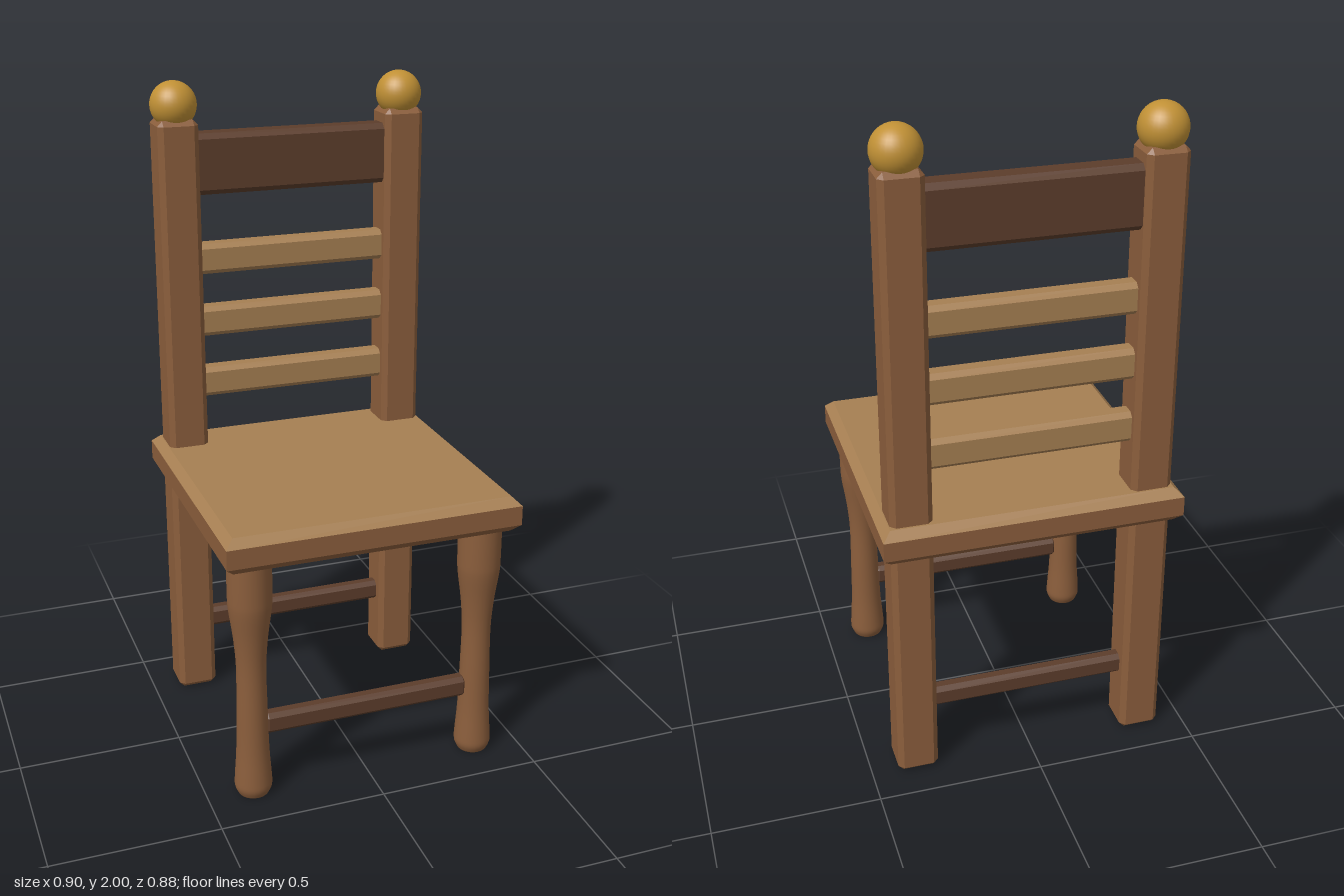
import * as THREE from 'three';
import { ConvexGeometry } from 'three/addons/geometries/ConvexGeometry.js';

const material = (name, color) => {
  const m = new THREE.MeshStandardMaterial({ color });
  m.name = name;
  return m;
};

// Box with every edge cut at 45 degrees
function chamferBox(w, h, d, c) {
  const points = [];
  for (const sx of [-1, 1]) for (const sy of [-1, 1]) for (const sz of [-1, 1]) {
    const x = w / 2, y = h / 2, z = d / 2;
    points.push(
      new THREE.Vector3(sx * x, sy * (y - c), sz * (z - c)),
      new THREE.Vector3(sx * (x - c), sy * y, sz * (z - c)),
      new THREE.Vector3(sx * (x - c), sy * (y - c), sz * z));
  }
  return new ConvexGeometry(points);
}

// Solid through stacked rectangles, each given as [y, half width, half depth]
function stackedSlab(layers) {
  const points = [];
  for (const [y, x, z] of layers)
    for (const sx of [-1, 1]) for (const sz of [-1, 1])
      points.push(new THREE.Vector3(sx * x, y, sz * z));
  return new ConvexGeometry(points);
}

export function createModel() {
  const group = new THREE.Group();
  group.name = 'chair';
  const brown = material('brown wood', 0x8b5e3c);
  const dark = material('dark wood', 0x5c3d2b);
  const tan = material('tan wood', 0xa67f52);
  const gold = material('gold', 0xc09035);

  const add = (name, geometry, mat, x = 0, y = 0, z = 0) => {
    const mesh = new THREE.Mesh(geometry, mat);
    mesh.name = name;
    mesh.position.set(x, y, z);
    group.add(mesh);
  };

  // Seat: brown board with a tan bevelled top
  add('seatBoard', stackedSlab([[0.76, 0.423, 0.413], [0.785, 0.448, 0.438], [0.845, 0.448, 0.438]]), brown);
  add('seatTop', stackedSlab([[0.845, 0.448, 0.438], [0.87, 0.423, 0.413]]), tan);

  // Back posts, ball finials and turned front legs
  const backZ = -0.345, frontZ = 0.347, sideX = 0.358;
  const post = chamferBox(0.124, 1.89, 0.124, 0.016);
  const ball = new THREE.SphereGeometry(0.07, 32, 20);
  const foot = [[0, 0], [0.046, 0]].map(p => new THREE.Vector2(...p));
  const turned = new THREE.SplineCurve([
    [0.048, 0.004], [0.056, 0.025], [0.055, 0.06], [0.049, 0.15], [0.046, 0.28],
    [0.044, 0.42], [0.051, 0.52], [0.063, 0.61], [0.065, 0.66], [0.065, 0.78],
  ].map(p => new THREE.Vector2(...p))).getPoints(36);
  const frontLeg = new THREE.LatheGeometry(turned, 24);
  const legBottom = new THREE.LatheGeometry([...foot, turned[0]], 24);
  for (const [side, s] of [['left', 1], ['right', -1]]) {
    add(side + 'BackPost', post, brown, s * sideX, 0.945, backZ);
    add(side + 'Finial', ball, gold, s * sideX, 1.93, backZ);
    add(side + 'FrontLeg', frontLeg, brown, s * sideX, 0, frontZ);
    add(side + 'FrontLegBottom', legBottom, brown, s * sideX, 0, frontZ);
  }

  // Back rest: crest rail and three slats
  add('crestRail', chamferBox(0.64, 0.184, 0.084, 0.016), dark, 0, 1.753, backZ);
  const slat = chamferBox(0.64, 0.094, 0.064, 0.014);
  [1.065, 1.263, 1.461].forEach((y, i) => add('backSlat' + (i + 1), slat, tan, 0, y, backZ));

  // Stretchers between the legs
  const stretcher = chamferBox(0.65, 0.066, 0.05, 0.013);
  add('frontStretcher', stretcher, dark, 0, 0.228, frontZ);
  add('backStretcher', stretcher, dark, 0, 0.228, backZ);

  return group;
}
